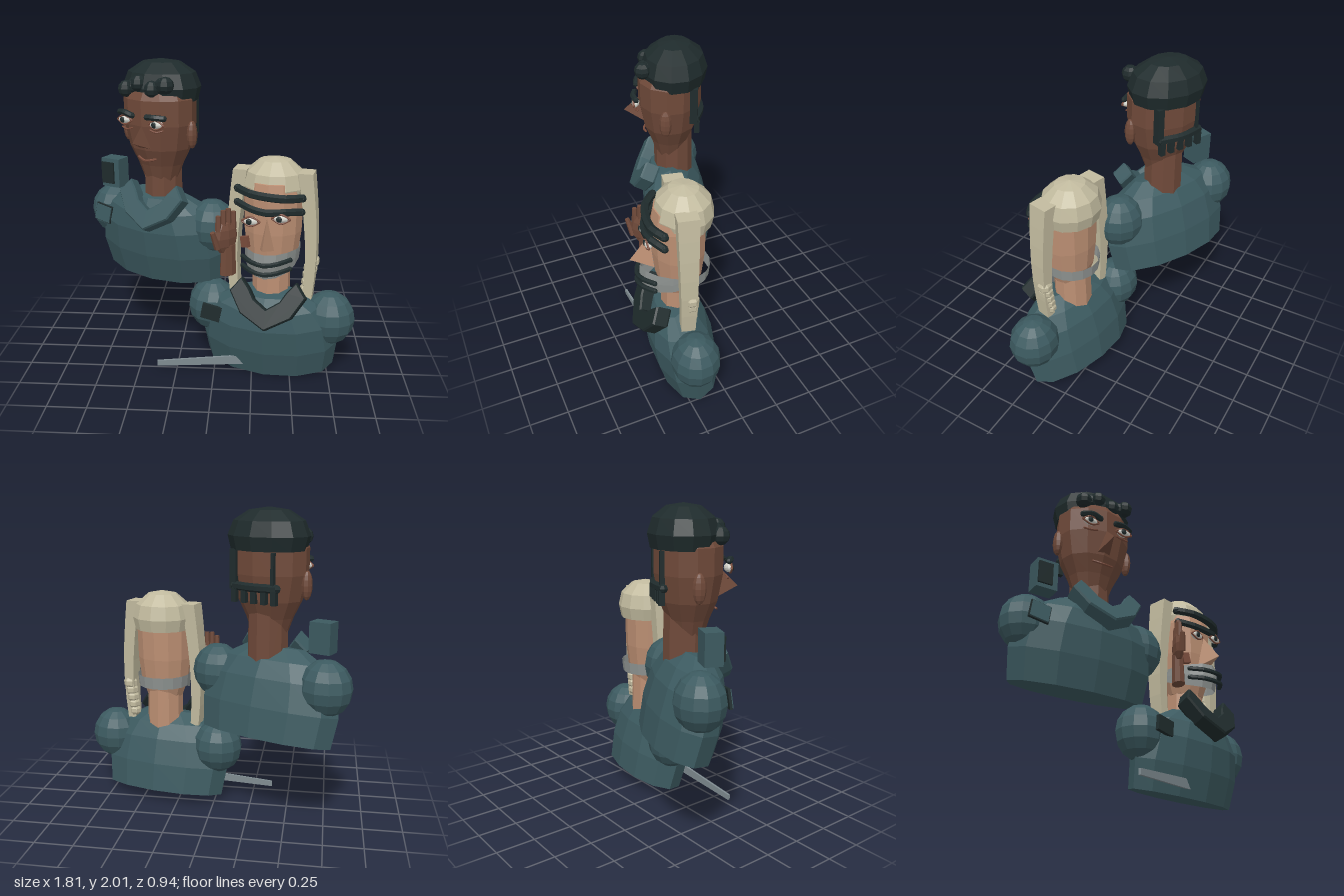
import * as THREE from 'three';
import { ConvexGeometry } from 'three/addons/geometries/ConvexGeometry.js';

const mat = (name, color, side = THREE.FrontSide) => {
  const m = new THREE.MeshStandardMaterial({ color, side });
  m.name = name;
  return m;
};
const M = {
  teal: mat('teal cloth', 0x3c5a60),
  brown: mat('brown skin', 0x704a3a),
  tan: mat('tan skin', 0xbc8f73),
  lip: mat('lip brown', 0x7a4c3c),
  black: mat('near black', 0x1f2b2c),
  cream: mat('cream hair', 0xc2bb9f),
  grey: mat('grey cloth', 0x8f9492, THREE.DoubleSide),
  steel: mat('steel', 0x7f8b90),
  white: mat('eye white', 0xd3d3cb),
};

// Adds a faceted mesh to a parent
function add(parent, name, geo, material, pos = [0, 0, 0], rot = [0, 0, 0], scale = [1, 1, 1]) {
  const g = geo.index ? geo.toNonIndexed() : geo;
  g.computeVertexNormals();
  const m = new THREE.Mesh(g, material);
  m.name = name;
  m.position.set(...pos);
  m.rotation.set(...rot);
  m.scale.set(...scale);
  parent.add(m);
}
function group(parent, name, pos, yaw = 0) {
  const g = new THREE.Group();
  g.name = name;
  g.position.set(...pos);
  g.rotation.y = yaw;
  parent.add(g);
  return g;
}
const v3 = (p) => new THREE.Vector3(...p);
const box = (x, y, z) => new THREE.BoxGeometry(x, y, z);
const ball = (r, w = 10, h = 8) => new THREE.SphereGeometry(r, w, h);
const lathe = (pts, n = 12) => new THREE.LatheGeometry(pts.map((p) => new THREE.Vector2(...p)), n);
const tube = (pts, r) => new THREE.TubeGeometry(new THREE.CatmullRomCurve3(pts.map(v3)), 8, r, 6);
// Tube with closed rounded ends
function strip(parent, name, pts, r, material) {
  add(parent, name, tube(pts, r), material);
  for (const p of [pts[0], pts[pts.length - 1]]) add(parent, name + 'End', ball(r, 6, 4), material, p);
}

// Torso, shoulders and V collar, centred at shoulder height
function bust(parent, name, pos, yaw, collarMat, torsoZ, torsoScale, collarPos) {
  const g = group(parent, name, pos, yaw);
  add(g, 'torso', lathe([[0, -0.355], [0.44, -0.355], [0.465, -0.17], [0.435, 0], [0.35, 0.11], [0.2, 0.19], [0, 0.2]]),
    M.teal, [0, 0, torsoZ], [0.22, 0, 0], torsoScale);
  for (const s of [-1, 1]) add(g, s < 0 ? 'rightShoulder' : 'leftShoulder', ball(0.18, 12, 8), M.teal,
    [s * 0.39, 0, 0], [0, 0, 0], [0.94, 1, 0.87]);
  const half = [[0, -0.14], [0.16, -0.05], [0.24, 0.08], [0.18, 0.16], [0.13, 0.1], [0.09, 0.035], [0, -0.025]];
  const left = half.slice(1, 6).reverse().map(([x, y]) => [-x, y]);
  const shape = new THREE.Shape([...half, ...left].map((p) => new THREE.Vector2(...p)));
  const geo = new THREE.ExtrudeGeometry(shape, { depth: 0.08, bevelEnabled: true, bevelThickness: 0.012, bevelSize: 0.008, bevelSegments: 1 });
  add(g, 'collar', geo, collarMat, collarPos, [-0.45, 0, 0], [0.97, 1, 1]);
  return g;
}

// Eye with lids and pupil
function eye(parent, x, y, z, lidMat) {
  const g = group(parent, 'eye', [x, y, z]);
  add(g, 'eyeball', ball(0.05), M.white, [0, 0, 0], [0, 0, 0], [1, 0.52, 0.5]);
  add(g, 'pupil', ball(0.019, 8, 6), M.black, [-0.008, 0, 0.021], [0, 0, 0], [1, 1, 0.5]);
  strip(g, 'upperLid', [[-0.055, 0, 0.005], [0, 0.03, 0.012], [0.055, 0, 0.005]], 0.007, lidMat);
  strip(g, 'lowerLid', [[-0.055, -0.004, 0.005], [0, -0.03, 0.012], [0.055, -0.004, 0.005]], 0.006, lidMat);
}
const nose = (h, y0, z, tipY, tipZ) =>
  new ConvexGeometry([[0, h, z + 0.02], [-0.045, y0, z], [0.045, y0, z], [0, tipY, tipZ]].map(v3));

function darkHairedHead(parent) {
  const g = group(parent, 'darkHairedHead', [-0.357, 0, -0.132], -0.475);
  add(g, 'neck', new THREE.CylinderGeometry(0.127, 0.13, 0.34, 10), M.brown, [0, 1.2, 0.01]);
  add(g, 'head', lathe([[0, 1.21], [0.115, 1.22], [0.155, 1.33], [0.21, 1.44], [0.245, 1.6], [0.245, 1.76], [0.18, 1.86], [0, 1.9]]),
    M.brown, [0, 0, 0.03], [0, 0, 0], [1, 1, 0.84]);
  add(g, 'hairCap', lathe([[0, 1.745], [0.245, 1.745], [0.267, 1.83], [0.23, 1.92], [0.13, 1.982], [0, 2]]),
    M.black, [0, 0, 0], [0, 0, 0], [1, 1, 0.8]);
  [[-0.16, 1.82], [-0.06, 1.86], [0.04, 1.83], [0.14, 1.86], [-0.11, 1.84], [0.1, 1.85]].forEach(([x, y], i) =>
    add(g, 'curl', ball(0.054, 8, 6), M.black, [x + 0.015, y, i > 3 ? 0.16 : 0.185]));
  for (const s of [-1, 1]) {
    add(g, 'ear', ball(0.09, 8, 8), M.brown, [s * 0.25, 1.54, 0.04], [0, 0, 0], [0.35, 1, 0.45]);
    eye(g, s * 0.12, 1.63 - s * 0.006, 0.24, M.lip);
    strip(g, 'eyebrow', [[s * 0.055, 1.668, 0.255], [s * 0.115, 1.677 - s * 0.008, 0.255], [s * 0.17, 1.672 - s * 0.008, 0.23]], 0.019, M.black);
    strip(g, 'eyeBag', [[s * 0.07, 1.585, 0.24], [s * 0.115, 1.575, 0.24], [s * 0.155, 1.585, 0.225]], 0.006, M.lip);
  }
  add(g, 'nose', nose(1.63, 1.45, 0.19, 1.51, 0.335), M.brown);
  strip(g, 'mouth', [[-0.065, 1.39, 0.185], [0, 1.375, 0.205], [0.065, 1.385, 0.185]], 0.008, M.lip);
  // Locks hanging behind the head, with a fringe of tufts at the nape
  add(g, 'backLock', box(0.045, 0.24, 0.05), M.black, [0.155, 1.63, -0.135]);
  add(g, 'thinBackLock', box(0.02, 0.2, 0.03), M.black, [-0.125, 1.64, -0.148]);
  strip(g, 'napeHair', [[-0.15, 1.53, -0.145], [0, 1.53, -0.17], [0.15, 1.53, -0.145]], 0.027, M.black);
  for (let i = 0; i < 5; i++)
    add(g, 'napeTuft', box(0.034, 0.085, 0.034), M.black, [-0.14 + i * 0.07, 1.475, -0.155]);
}

// Long tapering side lock
function sideLock(parent, s) {
  const geo = new THREE.BoxGeometry(0.09, 0.84, 0.13, 1, 6, 1);
  const p = geo.attributes.position;
  for (let i = 0; i < p.count; i++) {
    const t = 0.5 - p.getY(i) / 0.84;
    p.setX(i, p.getX(i) * (1 - 0.35 * t) + s * 0.05 * Math.sin(Math.PI * Math.min(1, t * 0.75)));
    p.setZ(i, p.getZ(i) * (1 - 0.32 * t));
  }
  add(parent, s < 0 ? 'rightHairLock' : 'leftHairLock', geo, M.cream, [s * 0.205, 0.94, 0.02]);
}

function fairHairedHead(parent) {
  const g = group(parent, 'fairHairedHead', [0.375, 0, 0.135], -0.22);
  add(g, 'neck', new THREE.CylinderGeometry(0.12, 0.125, 0.3, 10), M.tan, [-0.002, 0.63, 0.02]);
  add(g, 'head', lathe([[0, 0.7], [0.125, 0.71], [0.165, 0.82], [0.185, 0.98], [0.19, 1.2], [0.17, 1.3], [0, 1.36]]),
    M.tan, [0, 0, 0.03], [0, 0, 0], [1, 1, 0.9]);
  add(g, 'hairDome', lathe([[0, 1.18], [0.185, 1.18], [0.203, 1.26], [0.18, 1.35], [0.1, 1.42], [0, 1.44]]),
    M.cream, [0, 0, 0], [0, 0, 0], [1, 1, 0.92]);
  for (const s of [-1, 1]) {
    sideLock(g, s);
    eye(g, s * 0.093 - 0.003, 1.098 + s * 0.016, 0.23, M.lip);
  }
  // Braid beside the left lock
  for (let i = 0; i < 5; i++)
    add(g, 'braidKnot', ball(0.05 - i * 0.002, 7, 5), M.cream, [0.258 - i * 0.008, 0.77 - i * 0.05, 0]);
  // Twin dark brow bands
  strip(g, 'foreheadBand', [[-0.2, 1.26, 0.15], [-0.1, 1.247, 0.215], [0.1, 1.232, 0.215], [0.2, 1.227, 0.15]], 0.027, M.black);
  strip(g, 'browBand', [[-0.2, 1.175, 0.16], [-0.1, 1.155, 0.22], [0, 1.143, 0.24], [0.1, 1.15, 0.22], [0.2, 1.14, 0.15]], 0.024, M.black);
  add(g, 'nose', nose(1.1, 0.885, 0.19, 0.93, 0.335), M.tan);
  add(g, 'cheekPatch', box(0.05, 0.07, 0.03), M.lip, [-0.145, 0.92, 0.17], [0, -0.4, 0.2]);
  // Grey wrap, taller and bulging at the front
  const wrap = new THREE.CylinderGeometry(0.18, 0.172, 1, 16, 2, true);
  const p = wrap.attributes.position;
  for (let i = 0; i < p.count; i++) {
    const f = Math.max(0, p.getZ(i) / 0.18);
    const y = p.getY(i);
    p.setY(i, y * (0.08 + 0.09 * f) - 0.03 * f);
    p.setZ(i, p.getZ(i) * (1 + 0.46 * f) + (Math.abs(y) < 0.1 ? 0.015 * f : 0));
  }
  add(g, 'faceWrap', wrap, M.grey, [0, 0.828, 0.01]);
  for (const y of [0.828, 0.768])
    strip(g, 'wrapStripe', [[-0.15, y + 0.008, 0.205], [-0.08, y, 0.27], [0, y - 0.006, 0.295], [0.08, y + 0.004, 0.27], [0.15, y + 0.015, 0.205]], 0.016, M.black);
}

function raisedHand(parent) {
  const g = group(parent, 'raisedHand', [0.075, 0, 0.28], 0.7);
  add(g, 'wrist', new THREE.CylinderGeometry(0.052, 0.06, 0.2, 8), M.brown, [0.02, 0.8, 0], [0, 0, 0], [1, 1, 0.7]);
  add(g, 'palm', ball(0.09, 8, 6), M.brown, [0, 0.95, 0], [0, 0, 0], [1.02, 1.2, 0.42]);
  [0.1, 0.13, 0.135, 0.11].forEach((h, i) =>
    add(g, 'finger', new THREE.CylinderGeometry(0.016, 0.021, h, 6), M.brown, [-0.058 + i * 0.039, 1.0 + h / 2, 0]));
  add(g, 'thumb', new THREE.CylinderGeometry(0.016, 0.022, 0.12, 6), M.brown, [-0.09, 0.95, 0.01], [0, 0, 0.35]);
}

export function createModel() {
  const model = new THREE.Group();
  model.name = 'twoBusts';

  const rear = bust(model, 'rearBust', [-0.378, 0.935, -0.145], -0.44, M.teal, 0.03, [1.05, 1.05, 0.48], [0.05, 0.105, 0.175]);
  darkHairedHead(model);
  // Shoulder radio and sleeve patch
  add(rear, 'radio', box(0.14, 0.195, 0.11), M.teal, [-0.327, 0.295, 0.075]);
  add(rear, 'radioScreen', box(0.095, 0.145, 0.016), M.black, [-0.343, 0.295, 0.135]);
  add(rear, 'patchBorder', box(0.13, 0.12, 0.016), M.black, [-0.375, 0.01, 0.16], [-0.1, 0, -0.17]);
  add(rear, 'sleevePatch', box(0.118, 0.108, 0.02), M.teal, [-0.375, 0.01, 0.165], [-0.1, 0, -0.17]);

  const front = bust(model, 'frontBust', [0.365, 0.385, 0.135], -0.21, M.black, 0.05, [0.975, 1, 0.47], [0.025, 0.115, 0.195]);
  fairHairedHead(model);
  add(front, 'sleevePatch', box(0.13, 0.1, 0.025), M.black, [-0.358, 0.015, 0.17], [-0.05, 0, -0.17]);

  raisedHand(model);

  // Flat blade at the front
  const blade = new THREE.Shape([[-0.38, 0.015], [0.2, 0.05], [0.15, 0.108], [-0.38, 0.052]].map((p) => new THREE.Vector2(...p)));
  add(model, 'blade', new THREE.ExtrudeGeometry(blade, { depth: 0.015, bevelEnabled: false }), M.steel, [0, 0, 0.26]);
  return model;
}
